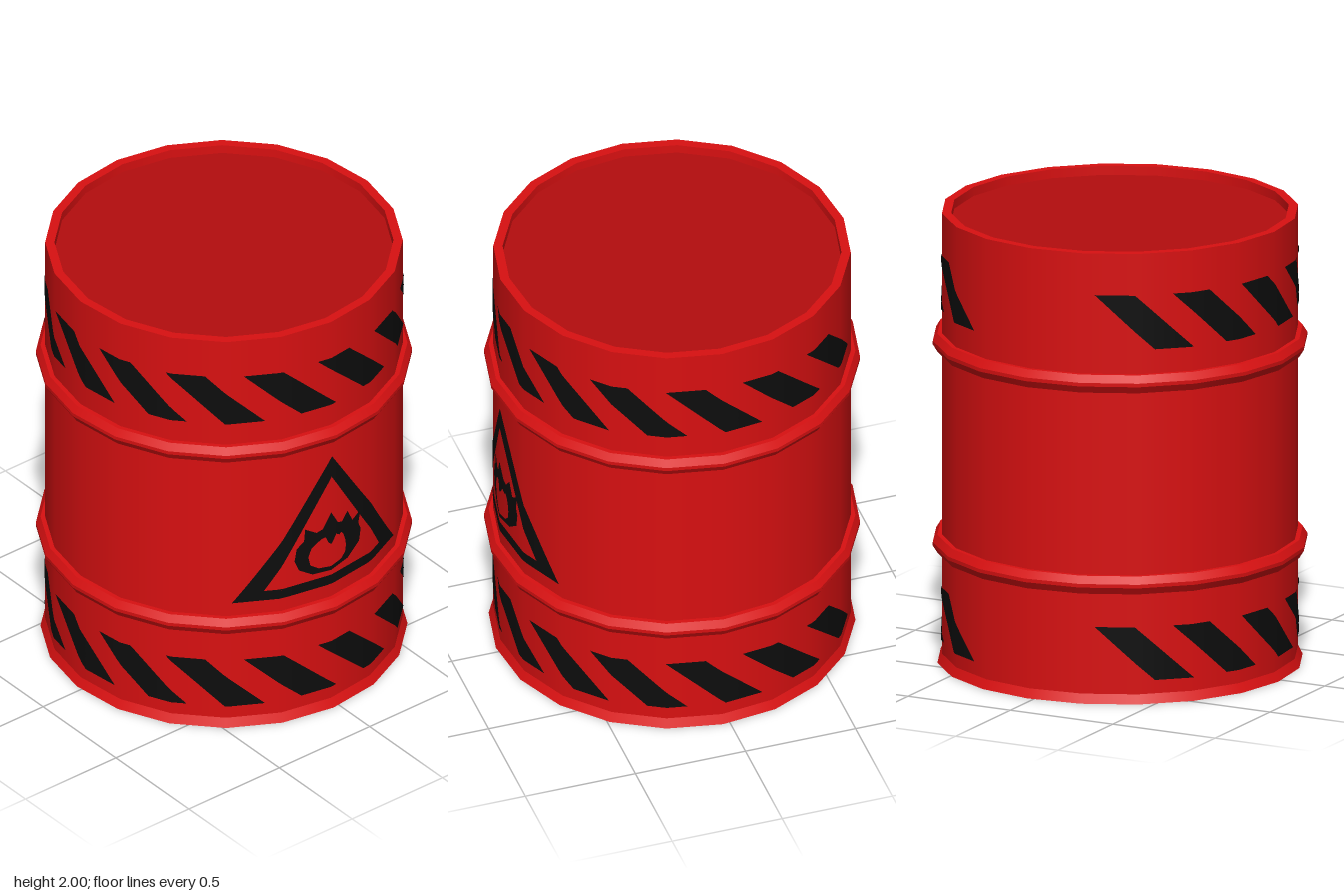
import * as THREE from 'three';
import { mergeGeometries } from 'three/addons/utils/BufferGeometryUtils.js';

const SIDES = 20, R = 0.77, DEG = Math.PI / 180, PHASE = -2.2 * DEG;

const red = new THREE.MeshStandardMaterial({ color: 0xd91011 });
red.name = 'barrel red';
const darkRed = new THREE.MeshStandardMaterial({ color: 0xb40d0e });
darkRed.name = 'lid red';
const black = new THREE.MeshStandardMaterial({ color: 0x0d0d0d, side: THREE.DoubleSide });
black.name = 'warning black';

// Turned shape: smooth around the axis, sharp along the profile
function turned(profile) {
  const bands = [];
  for (let i = 0; i + 1 < profile.length; i++) {
    const pair = [profile[i], profile[i + 1]].map(p => new THREE.Vector2(p[0], p[1]));
    bands.push(new THREE.LatheGeometry(pair, SIDES, PHASE, Math.PI * 2));
  }
  return mergeGeometries(bands);
}

// Radius of the many-sided wall at an angle, lifted slightly for paint
function wallRadius(angle) {
  const step = Math.PI * 2 / SIDES;
  const local = (((angle - PHASE) % step) + step) % step;
  return R * Math.cos(step / 2) / Math.cos(local - step / 2) + 0.004;
}

// Thin painted patch on the wall; f(u, v) gives [angle, height]
function patch(f, nu, nv) {
  const pos = [], nor = [], idx = [];
  for (let j = 0; j <= nv; j++) {
    for (let i = 0; i <= nu; i++) {
      const [a, y] = f(i / nu, j / nv);
      const r = wallRadius(a), s = Math.sin(a), c = Math.cos(a);
      pos.push(r * s, y, r * c);
      nor.push(s, 0, c);
      if (i < nu && j < nv) {
        const k = j * (nu + 1) + i, m = k + nu + 1;
        idx.push(k, k + 1, m + 1, k, m + 1, m);
      }
    }
  }
  const g = new THREE.BufferGeometry();
  g.setAttribute('position', new THREE.Float32BufferAttribute(pos, 3));
  g.setAttribute('normal', new THREE.Float32BufferAttribute(nor, 3));
  g.setIndex(idx);
  return g;
}

// Point along a closed outline
function along(points, u) {
  const n = points.length, t = u * n, i = Math.floor(t), k = t - i;
  const a = points[i % n], b = points[(i + 1) % n];
  return [a[0] + (b[0] - a[0]) * k, a[1] + (b[1] - a[1]) * k];
}

// Painted band between two matching outlines, wrapped on the front
function outlineBand(outer, inner, nu, nv) {
  return patch((u, v) => {
    const a = along(outer, u), b = along(inner, u);
    const x = a[0] + (b[0] - a[0]) * v, y = a[1] + (b[1] - a[1]) * v;
    return [Math.asin(x / 0.767), y];
  }, nu, nv);
}

export function createModel() {
  const barrel = new THREE.Group();
  barrel.name = 'barrel';
  const add = (name, geometry, material) => {
    const mesh = new THREE.Mesh(geometry, material);
    mesh.name = name;
    barrel.add(mesh);
  };

  // Body with flared foot and raised top rim
  add('body', turned([[0, 0], [0.79, 0], [R, 0.04], [R, 2], [0.73, 2], [0.73, 1.96]]), red);
  add('lid', turned([[0.73, 1.96], [0, 1.96]]), darkRed);

  // Two rolled ribs
  for (const [name, y] of [['lowerRib', 0.53], ['upperRib', 1.425]]) {
    add(name, turned([[R, y - 0.04], [0.79, y - 0.04], [0.81, y - 0.008],
      [0.81, y + 0.008], [0.79, y + 0.04], [R, y + 0.04]]), red);
  }

  // Slanted hazard stripes, leaving a gap at the back
  for (const [name, low, high] of [['lowerStripes', 0.1, 0.338], ['upperStripes', 1.572, 1.815]]) {
    const stripes = [];
    for (let k = 0; k < 12; k++) {
      const start = -160 + 25.5 * k;
      stripes.push(patch((u, v) =>
        [(start + 13 * u + 19.5 * (1 - v)) * DEG, low + (high - low) * v], 10, 10));
    }
    add(name, mergeGeometries(stripes), black);
  }

  // Warning triangle
  add('warningTriangle', outlineBand(
    [[-0.455, 0.637], [0.41, 0.637], [-0.025, 1.3]],
    [[-0.335, 0.685], [0.285, 0.685], [-0.027, 1.195]], 72, 3), black);

  // Flame symbol
  const flameOuter = [[-0.03, 0.71], [0.07, 0.725], [0.14, 0.78], [0.15, 0.84], [0.135, 0.875],
    [0.15, 0.94], [0.1, 0.905], [0.07, 0.97], [0.035, 0.93], [0.01, 0.94], [-0.03, 1.01],
    [-0.07, 0.935], [-0.1, 0.925], [-0.155, 0.96], [-0.16, 0.9], [-0.195, 0.87],
    [-0.205, 0.81], [-0.185, 0.757], [-0.12, 0.715]];
  const flameInner = [[-0.03, 0.73], [0.03, 0.74], [0.055, 0.765], [0.06, 0.8], [0.055, 0.83],
    [0.045, 0.86], [0.03, 0.88], [0.02, 0.87], [0, 0.885], [-0.015, 0.86], [-0.03, 0.845],
    [-0.045, 0.86], [-0.05, 0.89], [-0.075, 0.885], [-0.1, 0.87], [-0.125, 0.85],
    [-0.14, 0.81], [-0.13, 0.765], [-0.09, 0.737]];
  add('flameSymbol', outlineBand(flameOuter, flameInner, 38, 5), black);

  return barrel;
}
